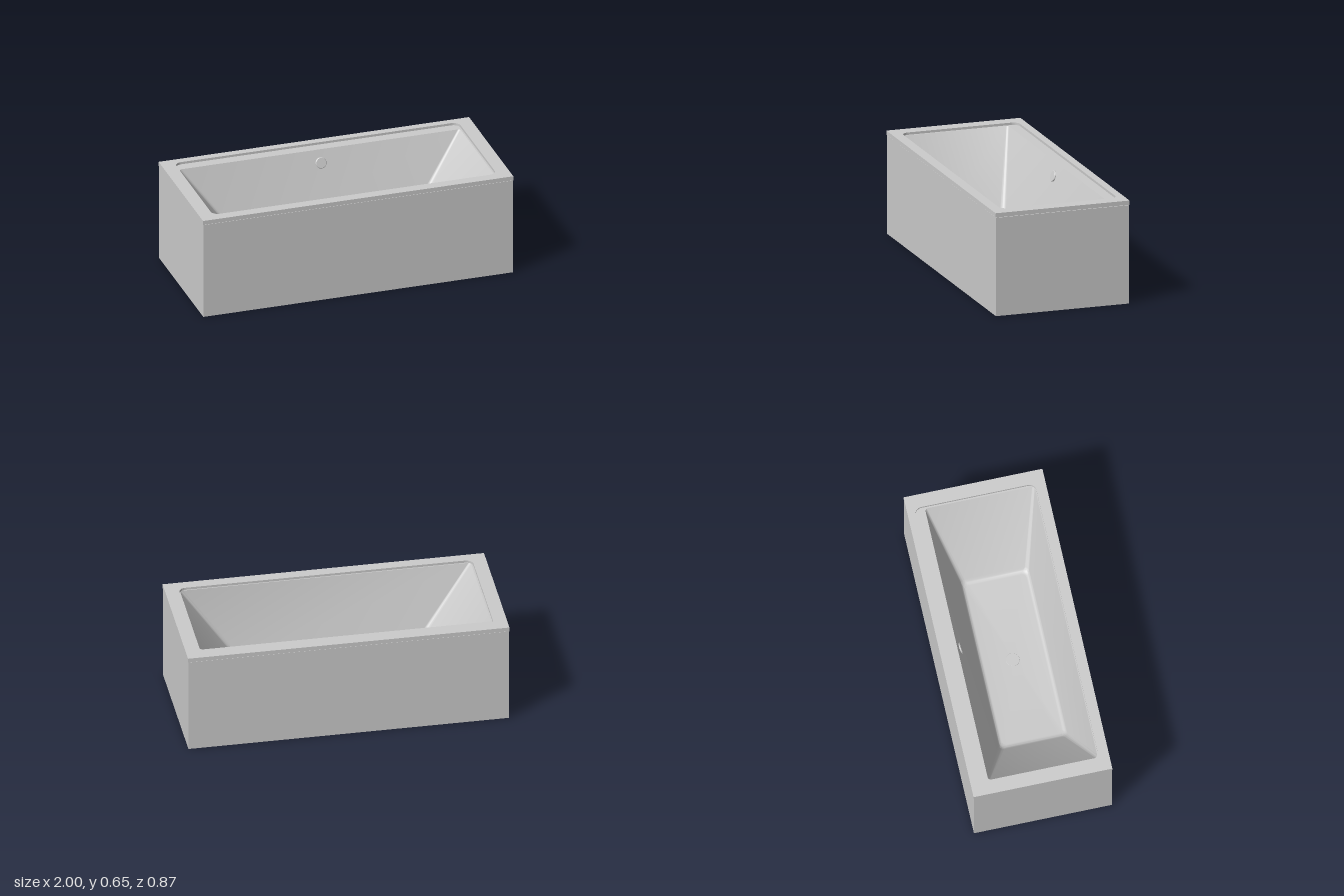
import * as THREE from 'three';
import { toCreasedNormals } from 'three/addons/utils/BufferGeometryUtils.js';

const HALF_X = 1, HALF_Z = 0.435, TOP = 0.655, SEAM = 0.628;
const LEDGE_Y = 0.64, FLOOR_Y = 0.16;
const OPENING = { x: 0.915, z0: -0.388, z1: 0.37, r: 0.045 };
const BASIN_TOP = { x: 0.905, z0: -0.322, z1: 0.364, r: 0.02 };
const BASIN_FLOOR = { x: 0.55, z0: -0.17, z1: 0.246, r: 0.03 };

const material = new THREE.MeshStandardMaterial({ color: 0xcccccc });

function addMesh(group, name, geometry) {
  const mesh = new THREE.Mesh(geometry, material);
  mesh.name = name;
  group.add(mesh);
  return mesh;
}

// Rounded rectangle in plan, as [x, z] points
function outline({ x, z0, z1, r }, steps = 8) {
  const corners = [[x - r, z1 - r], [r - x, z1 - r], [r - x, z0 + r], [x - r, z0 + r]];
  const points = [];
  corners.forEach(([cx, cz], q) => {
    for (let i = 0; i <= steps; i++) {
      const a = (q + i / steps) * Math.PI / 2;
      points.push(new THREE.Vector2(cx + r * Math.cos(a), cz + r * Math.sin(a)));
    }
  });
  return points;
}

// Rectangular frame around the opening, between two heights
function frame(halfX, halfZ, hole, bottom, top) {
  const shape = new THREE.Shape([
    new THREE.Vector2(-halfX, -halfZ), new THREE.Vector2(halfX, -halfZ),
    new THREE.Vector2(halfX, halfZ), new THREE.Vector2(-halfX, halfZ),
  ]);
  shape.holes.push(new THREE.Path(outline(hole)));
  const geometry = new THREE.ExtrudeGeometry(shape, { depth: top - bottom, bevelEnabled: false });
  return geometry.rotateX(Math.PI / 2).translate(0, top, 0);
}

function mix(a, b, t) {
  const out = {};
  for (const k of ['x', 'z0', 'z1', 'r']) out[k] = a[k] + (b[k] - a[k]) * t;
  return out;
}

function inset(o, d) {
  return { x: o.x - d, z0: o.z0 + d, z1: o.z1 - d, r: o.r };
}

// Skin through the rings from the top down, closed by a fan over the floor
function loft(sections) {
  const rings = sections.map(([rect, y]) => outline(rect).map(p => [p.x, y, p.y]));
  const n = rings[0].length;
  const position = [];
  for (let k = 0; k < rings.length - 1; k++) {
    for (let i = 0; i < n; i++) {
      const j = (i + 1) % n;
      const a = rings[k][i], b = rings[k][j], c = rings[k + 1][i], d = rings[k + 1][j];
      position.push(...a, ...c, ...b, ...b, ...c, ...d);
    }
  }
  const last = rings[rings.length - 1];
  const [rect, y] = sections[sections.length - 1];
  const centre = [0, y, (rect.z0 + rect.z1) / 2];
  for (let i = 0; i < n; i++) position.push(...last[i], ...centre, ...last[(i + 1) % n]);
  const geometry = new THREE.BufferGeometry();
  geometry.setAttribute('position', new THREE.Float32BufferAttribute(position, 3));
  return toCreasedNormals(geometry, 0.5);
}

function basinGeometry() {
  const sections = [[OPENING, TOP], [OPENING, LEDGE_Y], [BASIN_TOP, LEDGE_Y]];
  // Soft fillet where the sloping walls meet the floor
  const start = 0.95, steps = 6;
  const from = mix(BASIN_TOP, BASIN_FLOOR, start);
  const fromY = LEDGE_Y + (FLOOR_Y - LEDGE_Y) * start;
  const end = inset(BASIN_FLOOR, 0.02);
  for (let i = 0; i <= steps; i++) {
    const t = i / steps;
    const rect = mix(mix(from, BASIN_FLOOR, t), mix(BASIN_FLOOR, end, t), t);
    sections.push([rect, FLOOR_Y + (fromY - FLOOR_Y) * (1 - t) ** 2]);
  }
  return loft(sections);
}

// Thin round plate with a rounded edge, lying flat
function plate(radius, height) {
  const bevel = height * 0.4;
  const profile = [[0, height], [radius - bevel, height], [radius, height - bevel], [radius, -0.004]];
  const points = profile.reverse().map(([x, y]) => new THREE.Vector2(x, y));
  return toCreasedNormals(new THREE.LatheGeometry(points, 40), 0.5);
}

export function createModel() {
  const tub = new THREE.Group();
  tub.name = 'bathtub';

  // Outer panels and underside
  const panelHole = { ...OPENING, x: OPENING.x + 0.01, z0: OPENING.z0 - 0.01, z1: OPENING.z1 + 0.01 };
  addMesh(tub, 'sidePanels', frame(HALF_X - 0.003, HALF_Z - 0.003, panelHole, 0, SEAM - 0.003));
  addMesh(tub, 'base', new THREE.BoxGeometry(2 * HALF_X - 0.008, 0.03, 2 * HALF_Z - 0.008))
    .position.y = 0.0155;

  // Flat rim overhanging the panels slightly
  addMesh(tub, 'rim', frame(HALF_X, HALF_Z, OPENING, SEAM, TOP));

  // Recessed ledge, sloping walls and floor
  addMesh(tub, 'basin', basinGeometry());

  // Drain cover on the floor
  addMesh(tub, 'drainCover', plate(0.043, 0.003)).position.set(0, FLOOR_Y, 0.03);

  // Overflow cover on the back wall, tilted to lie on its slope
  const run = BASIN_FLOOR.z0 - BASIN_TOP.z0, drop = LEDGE_Y - FLOOR_Y;
  const overflow = addMesh(tub, 'overflowCover', plate(0.035, 0.009));
  const y = 0.56;
  overflow.position.set(0, y, BASIN_TOP.z0 + run * (LEDGE_Y - y) / drop);
  overflow.rotation.x = Math.atan2(drop, run);

  return tub;
}
